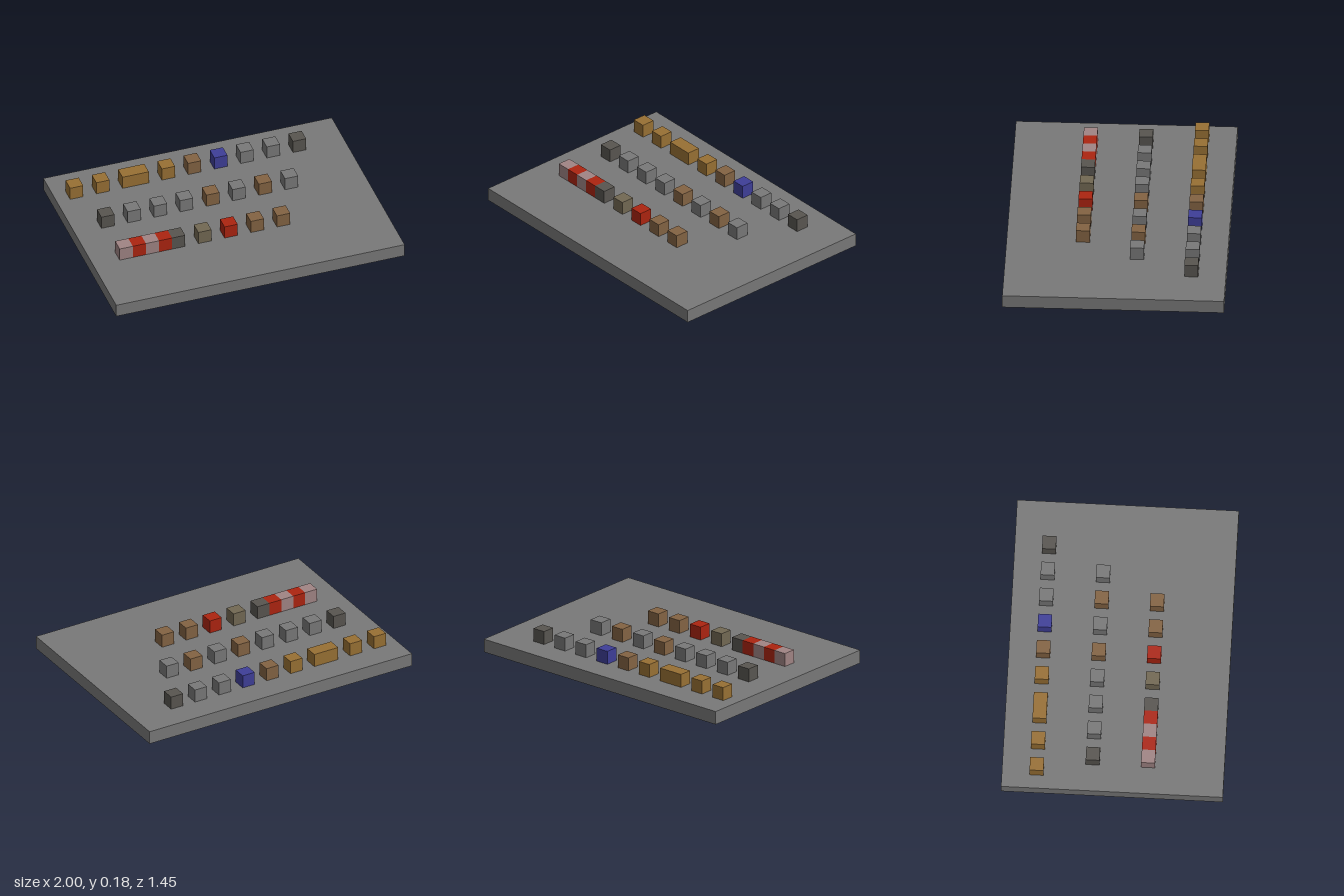
import * as THREE from 'three';

const U = 1 / 11; // one grid cell

const mat = (name, color) => {
  const m = new THREE.MeshStandardMaterial({ color });
  m.name = name;
  return m;
};

export function createModel() {
  const grey = mat('grey', 0x787878);
  const gold = mat('gold', 0x987034);
  const brown = mat('brown', 0x836343);
  const blue = mat('blue', 0x3e3e98);
  const dark = mat('darkGrey', 0x585550);
  const taupe = mat('taupe', 0x726853);
  const pink = mat('dustyPink', 0xa08484);
  const red = mat('red', 0xac2410);

  const model = new THREE.Group();
  model.name = 'blockBoard';

  const add = (parent, name, geometry, material, x, y, z) => {
    const mesh = new THREE.Mesh(geometry, material);
    mesh.name = name;
    mesh.position.set(x, y, z);
    parent.add(mesh);
    return mesh;
  };

  // Base slab, 22 x 1 x 16 cells
  add(model, 'baseSlab', new THREE.BoxGeometry(22 * U, U, 16 * U), grey, 0, U / 2, 0);

  // Rows of blocks: [first cell, material, length in cells]
  const rows = [
    { name: 'backRow', z: -5.5, blocks: [[-10, gold], [-8, gold], [-6, gold, 2], [-3, gold], [-1, brown],
      [1, blue], [3, grey], [5, grey], [7, dark]] },
    { name: 'middleRow', z: -1.5, blocks: [[-9, dark], [-7, grey], [-5, grey], [-3, grey], [-1, brown],
      [1, grey], [3, brown], [5, grey]] },
    { name: 'frontRow', z: 2.5, blocks: [[-9, pink], [-8, red], [-7, pink], [-6, red], [-5, dark],
      [-3, taupe], [-1, red], [1, brown], [3, brown]] },
  ];
  for (const { name, z, blocks } of rows) {
    const row = new THREE.Group();
    row.name = name;
    model.add(row);
    for (const [cell, material, length = 1] of blocks) {
      add(row, 'block', new THREE.BoxGeometry(length * U, U, U), material,
        (cell + length / 2) * U, 1.5 * U, z * U);
    }
  }

  // Red discs set into the underside
  for (const cell of [-0.5, 3.5]) {
    add(model, 'undersideDisc', new THREE.CylinderGeometry(U / 2, U / 2, 0.004, 8), red, cell * U, 0.001, 2.5 * U);
  }
  return model;
}
